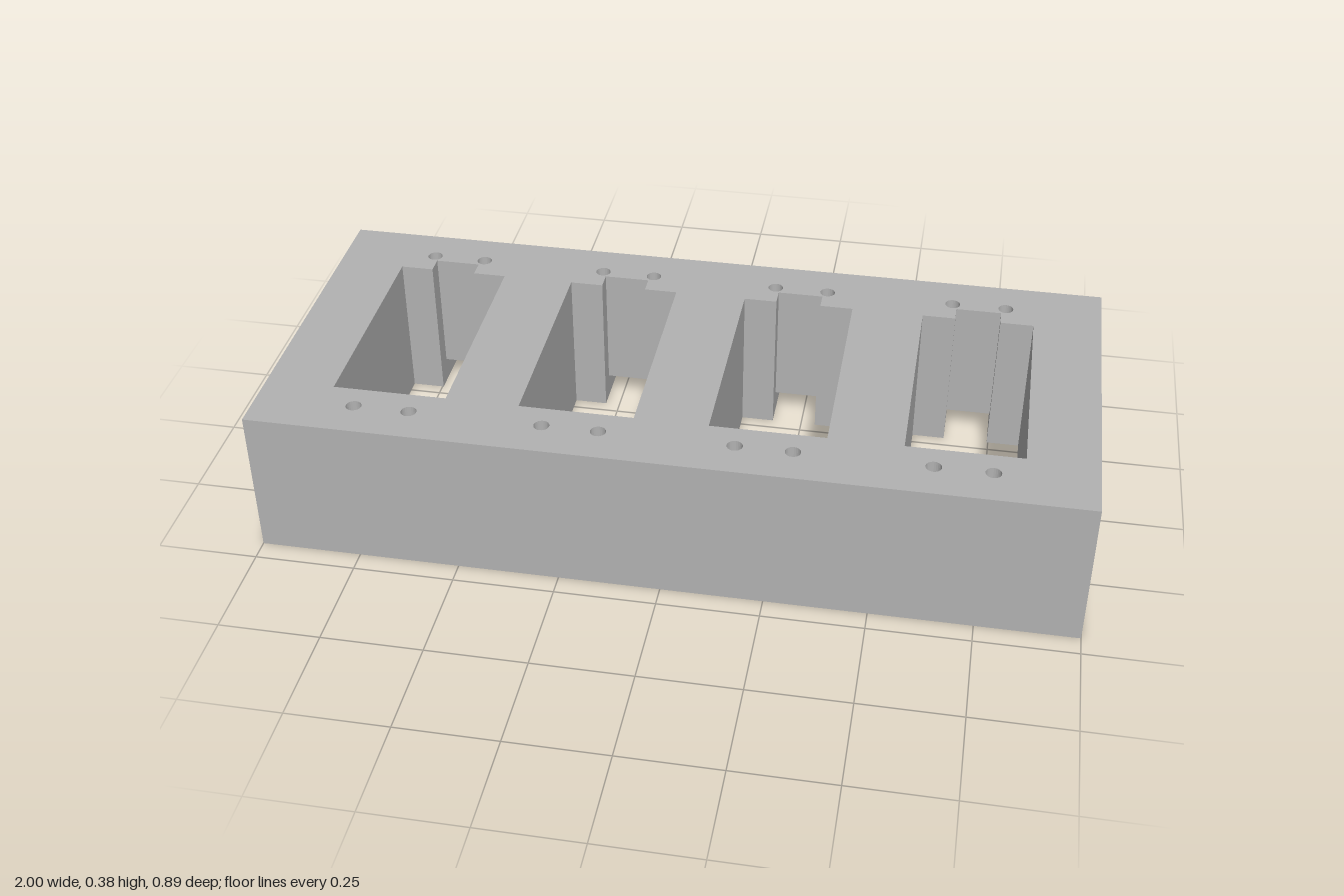
import * as THREE from 'three';

// Plan coordinates: x right, y towards the back (-z); the third axis is height.
const H = 0.38, D = 0.447, CH = 0.062;       // block height, half depth, channel height
const PW = 0.14, PD = 0.281;                 // pocket half width and half depth
const NW = 0.057, ND = 0.326;                // cable notch half width and reach
const HOLE_R = 0.019, HOLE_DEPTH = 0.19;
const centres = [0.69, 0.23, -0.23, -0.69];

const toShape = (pts) => new THREE.Shape(pts.map(([x, y]) => new THREE.Vector2(x, y)));

const rect = (x0, x1, y0, y1) => [[x0, y0], [x1, y0], [x1, y1], [x0, y1]];

const circle = (cx, cy, r, n = 24) => Array.from({ length: n }, (_, i) => {
  const a = (i / n) * Math.PI * 2;
  return [cx + r * Math.cos(a), cy + r * Math.sin(a)];
});

// Flat horizontal face with optional holes
function cap(outline, height, facesUp, holes = []) {
  const shape = toShape(outline);
  shape.holes = holes.map(toShape);
  const g = new THREE.ShapeGeometry(shape);
  if (!facesUp) {
    g.setIndex(Array.from(g.index.array).reverse());
    g.computeVertexNormals();
  }
  g.translate(0, 0, height);
  return g;
}

// Vertical walls along a closed outline; the solid lies to the left of each edge
function walls(outline, h0, h1) {
  const p = [];
  outline.forEach(([ax, ay], i) => {
    const [bx, by] = outline[(i + 1) % outline.length];
    p.push(ax, ay, h0, bx, by, h0, bx, by, h1, ax, ay, h0, bx, by, h1, ax, ay, h1);
  });
  const g = new THREE.BufferGeometry();
  g.setAttribute('position', new THREE.Float32BufferAttribute(p, 3));
  g.computeVertexNormals();
  return g;
}

export function createModel() {
  const grey = new THREE.MeshStandardMaterial({ color: 0xb2b2b2 });
  grey.name = 'grey';
  const model = new THREE.Group();
  model.name = 'socketBlock';
  const add = (name, geometry) => {
    geometry.rotateX(-Math.PI / 2);
    const mesh = new THREE.Mesh(geometry, grey);
    mesh.name = name;
    model.add(mesh);
  };

  const outer = rect(-1, 1, -D, D);
  const pockets = centres.map((c) => [
    [c - PW, -PD], [c + PW, -PD], [c + PW, PD], [c + NW, PD],
    [c + NW, ND], [c - NW, ND], [c - NW, PD], [c - PW, PD],
  ]);
  const screwHoles = centres.flatMap((c) =>
    [-1, 1].flatMap((sx) => [-1, 1].map((sy) => circle(c + sx * 0.068, sy * 0.348, HOLE_R))));

  // Base outline: each pocket opens to the back through its cable channel
  const base = [
    [-1, -D], [1, -D], [1, D],
    ...centres.flatMap((c) => [
      [c + NW, D], [c + NW, PD], [c + PW, PD], [c + PW, -PD],
      [c - PW, -PD], [c - PW, PD], [c - NW, PD], [c - NW, D],
    ]),
    [-1, D],
  ];

  add('topFace', cap(outer, H, true, [...pockets, ...screwHoles]));
  add('bottomFace', cap(base, 0, false));
  add('baseWalls', walls(base, 0, CH));
  add('outerWalls', walls(outer, CH, H));

  // Pockets and the ceilings of the channels behind them
  pockets.forEach((p, i) => {
    add('pocketWalls', walls([...p].reverse(), CH, H));
    add('channelCeiling', cap(rect(centres[i] - NW, centres[i] + NW, ND, D), CH, false));
  });

  // Blind screw holes
  screwHoles.forEach((h) => {
    add('screwHoleWall', walls([...h].reverse(), H - HOLE_DEPTH, H));
    add('screwHoleFloor', cap(h, H - HOLE_DEPTH, true));
  });

  return model;
}
